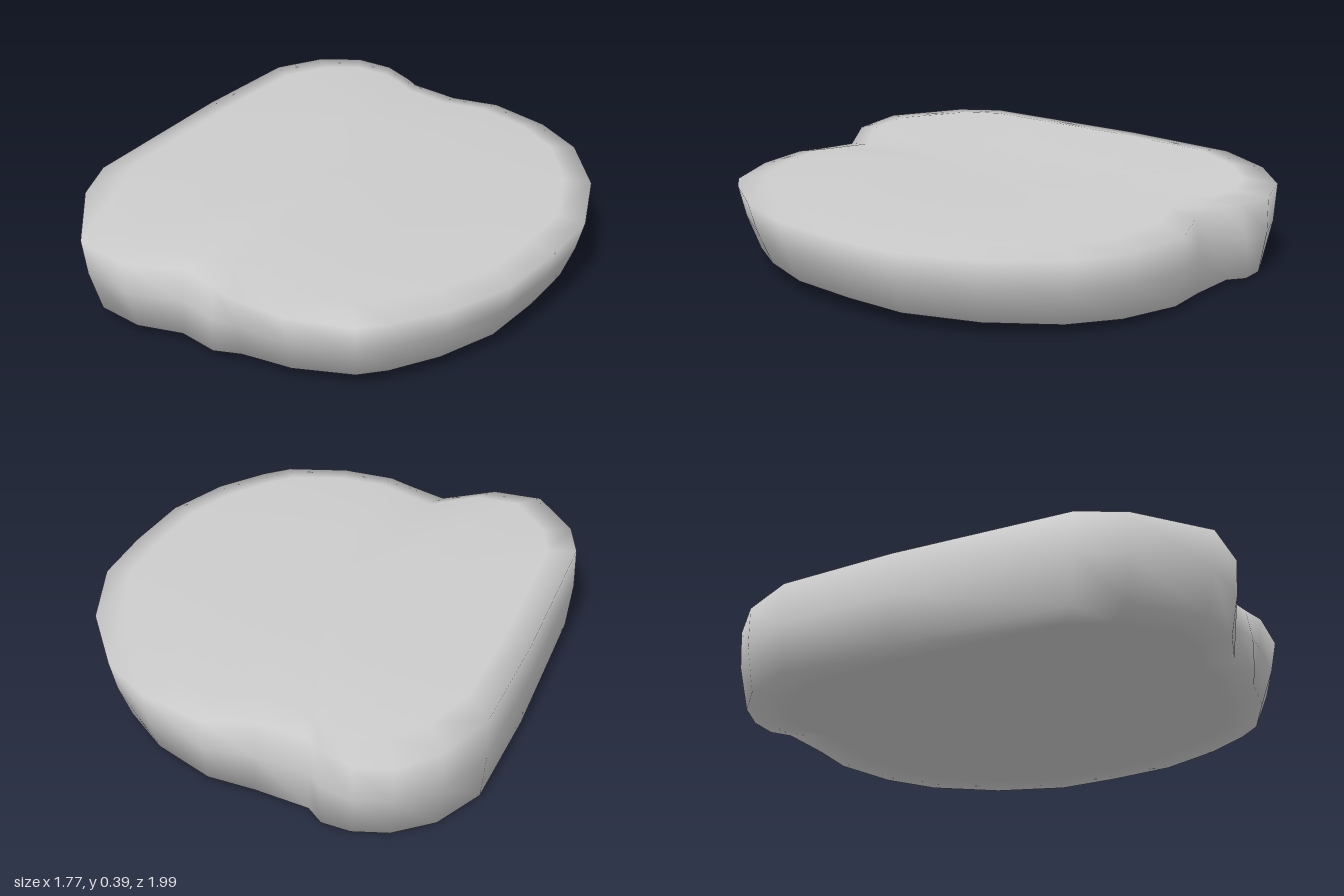
import * as THREE from 'three';

// Outline seen from above: x, z, scale of top rim, scale of bottom rim
const outline = [
  [-0.87, -0.62, 1, 0.98], [-0.78, -0.83, 1, 0.97], [-0.65, -0.96, 1, 0.96], [-0.51, -1.0, 0.99, 0.97],
  [-0.39, -0.99, 0.95, 0.98], [-0.32, -0.94, 0.96, 0.98], [-0.1, -0.92, 0.965, 0.99], [0.09, -0.945, 1, 0.97],
  [0.35, -0.89, 1, 0.94], [0.56, -0.77, 1, 0.92], [0.76, -0.52, 1, 0.91], [0.88, -0.22, 1, 0.91],
  [0.885, 0.05, 1, 0.91], [0.86, 0.34, 1, 0.91], [0.76, 0.59, 1, 0.91], [0.63, 0.77, 1, 0.92],
  [0.54, 0.86, 1, 0.92], [0.3, 0.945, 1, 0.93], [0.08, 0.95, 1, 0.95], [-0.03, 0.96, 0.96, 0.98],
  [-0.2, 0.94, 0.94, 0.97], [-0.39, 1.0, 1, 0.96], [-0.6, 0.985, 1, 0.95], [-0.8, 0.74, 1, 0.97],
  [-0.87, 0.56, 1, 0.985], [-0.885, -0.15, 1, 0.985],
];

// Gently tilted upper and lower faces, with a dent running in from the front notch
const dent = (x, z) => 0.03 * Math.exp(-(((x + 0.13) / 0.1) ** 2)) * THREE.MathUtils.smoothstep(z, 0.4, 0.9);
const topY = (x, z) =>
  0.355 - 0.02 * x + 0.07 * Math.max(0, -x - 0.4) + 0.012 * z - 0.02 * z ** 4 - dent(x, z);
const bottomY = (x, z) => 0.045 + 0.03 * x + 0.012 * z - 0.008 * Math.max(0, -z);

// Rings from the middle of the underside, round the rim, to the middle of the top
const rings = [
  { scale: (p) => 0.45, h: 0 },
  { scale: (p) => 0.86 * p[3], h: 0 },
  { scale: (p) => p[3], h: 0 },
  { scale: (p) => (p[2] + p[3]) / 2 + 0.012, h: 0.5 },
  { scale: (p) => p[2], h: 0.94 },
  { scale: (p) => 0.88 * p[2], h: 1 },
  { scale: (p) => 0.45, h: 1 },
];

function slabGeometry() {
  const n = outline.length;
  const pos = [];
  const index = [];
  for (const { scale, h } of rings) {
    for (const p of outline) {
      const s = scale(p);
      const x = THREE.MathUtils.clamp(p[0] * s, -0.885, 0.885);
      const z = THREE.MathUtils.clamp(p[1] * s, -1, 1);
      pos.push(x, THREE.MathUtils.lerp(bottomY(x, z), topY(x, z), h), z);
    }
  }
  for (let r = 0; r < rings.length - 1; r++) {
    for (let i = 0; i < n; i++) {
      const a = r * n + i, b = r * n + ((i + 1) % n), c = b + n, d = a + n;
      index.push(a, d, c, a, c, b);
    }
  }
  // Close both faces with a centre point
  const low = rings.length * n, high = low + 1, last = (rings.length - 1) * n;
  pos.push(0, bottomY(0, 0), 0, 0, topY(0, 0), 0);
  for (let i = 0; i < n; i++) {
    const j = (i + 1) % n;
    index.push(low, i, j, high, last + j, last + i);
  }
  const g = new THREE.BufferGeometry();
  g.setAttribute('position', new THREE.Float32BufferAttribute(pos, 3));
  g.setIndex(index);
  g.computeBoundingBox();
  g.translate(0, -g.boundingBox.min.y, 0);
  g.computeVertexNormals();
  return g;
}

export function createModel() {
  const group = new THREE.Group();
  group.name = 'stoneSlab';
  const slab = new THREE.Mesh(slabGeometry(), new THREE.MeshStandardMaterial({ color: 0xcccccc }));
  slab.name = 'slab';
  group.add(slab);
  return group;
}
